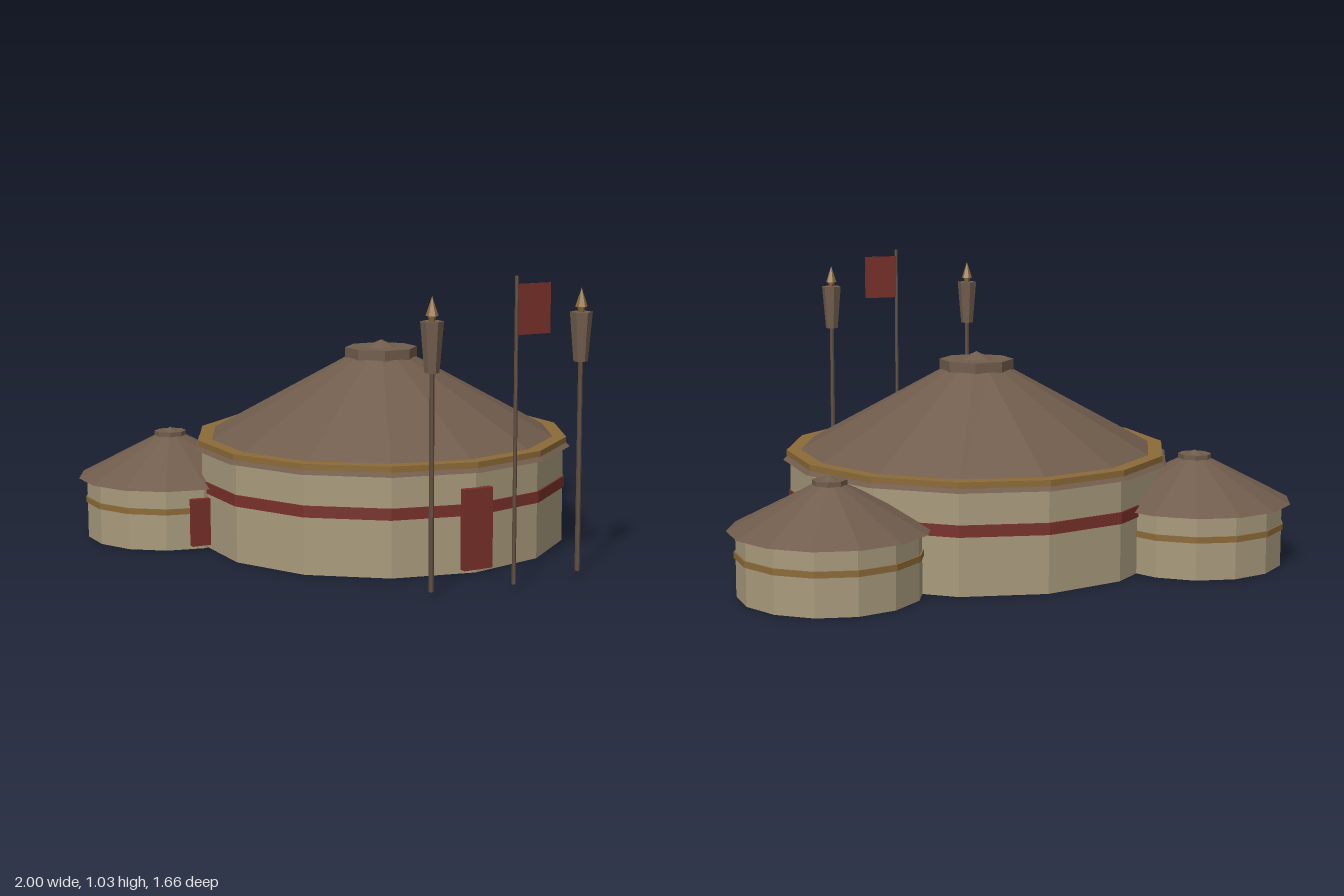
import * as THREE from 'three';

const paint = (name, color) => {
  const m = new THREE.MeshStandardMaterial({ color, flatShading: true });
  m.name = name;
  return m;
};

export function createModel() {
  const canvas = paint('canvas', 0xa89a7c);
  const roofing = paint('roofing', 0x705c4c);
  const gold = paint('gold trim', 0x8c6a38);
  const red = paint('red cloth', 0x78302a);
  const wood = paint('wood', 0x5e4c3e);

  const model = new THREE.Group();
  model.name = 'tentCamp';

  const add = (parent, name, geometry, material, x = 0, y = 0, z = 0) => {
    const mesh = new THREE.Mesh(geometry, material);
    mesh.name = name;
    mesh.position.set(x, y, z);
    parent.add(mesh);
    return mesh;
  };

  // Faceted drum or cone between heights y0 and y1
  const drum = (parent, name, r0, r1, y0, y1, sides, material) =>
    add(parent, name, new THREE.CylinderGeometry(r1, r0, y1 - y0, sides), material, 0, (y0 + y1) / 2, 0);

  // Round tent: wall, painted band, roof, smoke crown and front door
  const tent = (name, x, z, t) => {
    const g = new THREE.Group();
    g.name = name;
    g.position.set(x, 0, z);
    model.add(g);
    drum(g, 'wall', t.wall, t.wall, 0, t.eave + 0.002, 14, canvas);
    drum(g, 'wallBand', t.wall + 0.006, t.wall + 0.006, t.band[0], t.band[1], 14, t.bandPaint);
    drum(g, 'roof', t.roof, t.crown * 0.95, t.eave, t.crownY[0] + 0.003, 14, roofing);
    drum(g, 'crown', t.crown, t.crown, t.crownY[0], t.crownY[1], 8, roofing).rotation.y = Math.PI / 8;
    drum(g, 'crownCap', t.crown * 0.45, 0, t.crownY[1], t.peak, 8, roofing).rotation.y = Math.PI / 8;
    const [w, h] = t.door;
    add(g, 'door', new THREE.BoxGeometry(w, h, 0.026), red, 0, 0.015 + h / 2, t.wall + 0.006);
    return g;
  };

  const mainTent = tent('mainTent', 0, -0.085, {
    wall: 0.67, roof: 0.695, eave: 0.35, band: [0.2, 0.24], bandPaint: red,
    crown: 0.132, crownY: [0.662, 0.7], peak: 0.727, door: [0.112, 0.28],
  });
  drum(mainTent, 'eaveRing', 0.682, 0.682, 0.364, 0.385, 14, gold);

  for (const s of [-1, 1]) {
    tent(s > 0 ? 'leftTent' : 'rightTent', s * 0.669, -0.492, {
      wall: 0.31, roof: 0.34, eave: 0.22, band: [0.13, 0.151], bandPaint: gold,
      crown: 0.058, crownY: [0.364, 0.383], peak: 0.396, door: [0.106, 0.17],
    });

    // Standing torch
    const torch = new THREE.Group();
    torch.name = s > 0 ? 'leftTorch' : 'rightTorch';
    torch.position.set(s * 0.286, 0, 0.776);
    model.add(torch);
    drum(torch, 'torchPole', 0.009, 0.008, 0.015, 0.735, 6, wood);
    drum(torch, 'torchBasket', 0.024, 0.038, 0.73, 0.895, 6, roofing);
    drum(torch, 'flameNeck', 0.009, 0.015, 0.893, 0.915, 6, gold);
    drum(torch, 'flame', 0.021, 0, 0.912, 0.975, 6, gold);
  }

  // Flagpole with its flag
  const flagpole = new THREE.Group();
  flagpole.name = 'flagpole';
  flagpole.position.set(0, 0, 0.824);
  model.add(flagpole);
  drum(flagpole, 'pole', 0.007, 0.006, 0.015, 1.03, 6, wood);
  add(flagpole, 'flag', new THREE.BoxGeometry(0.128, 0.165, 0.005), red, 0.067, 0.921, -0.002);

  return model;
}
